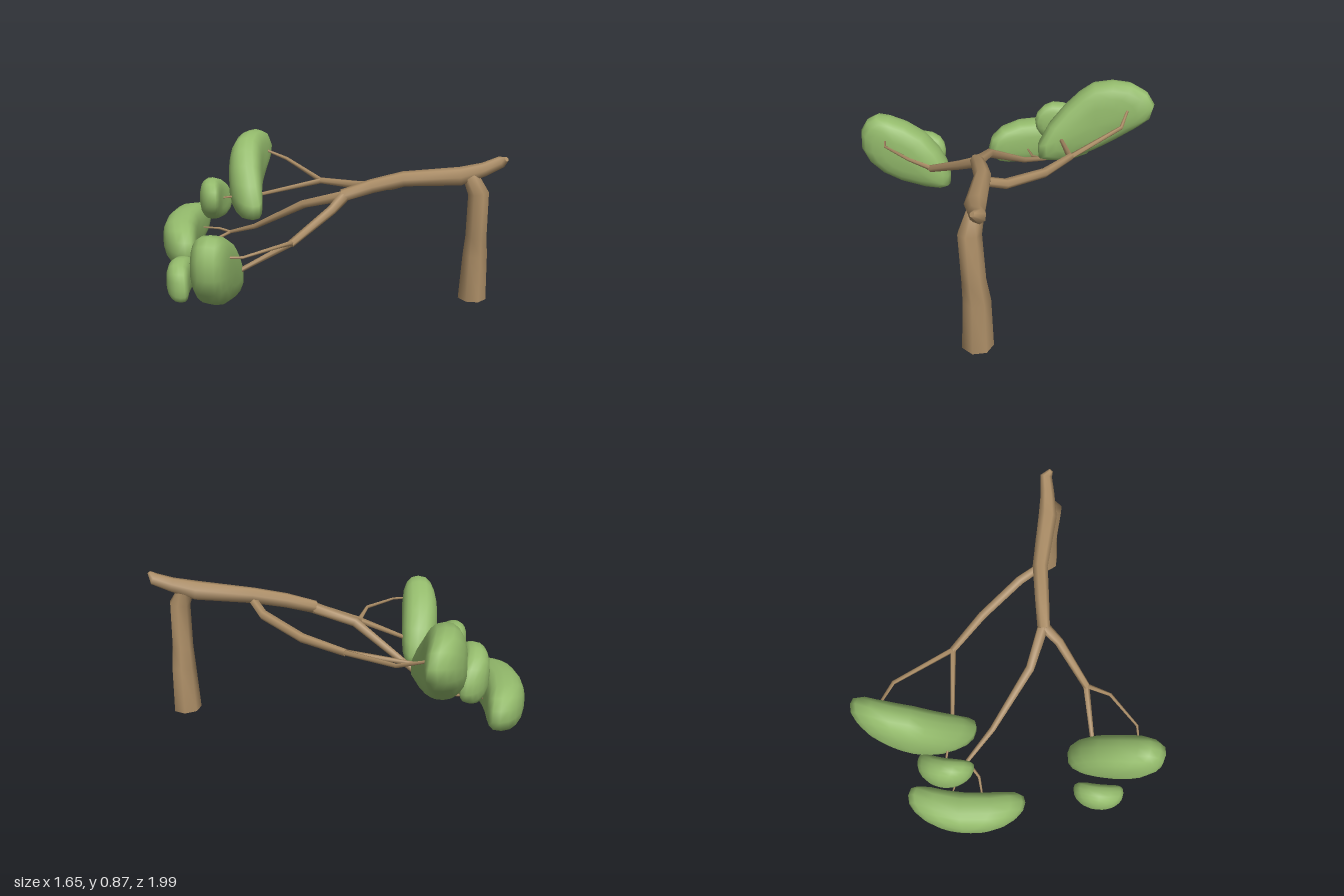
import * as THREE from 'three';
import { mergeVertices } from 'three/addons/utils/BufferGeometryUtils.js';

const bark = new THREE.MeshStandardMaterial({ color: 0xab8d66 });
bark.name = 'bark';
const leaf = new THREE.MeshStandardMaterial({ color: 0x94bb6c });
leaf.name = 'leaf';

// Tapered limb through points [x, y, z, radius], closed by flat caps
function limb(name, points, sides = 6) {
  const centres = points.map(p => new THREE.Vector3(p[0], p[1], p[2]));
  const last = points.length - 1;
  const side = new THREE.Vector3(1, 0, 0.3);
  const pos = [], index = [];
  centres.forEach((c, i) => {
    const t = centres[Math.min(i + 1, last)].clone().sub(centres[Math.max(i - 1, 0)]).normalize();
    side.addScaledVector(t, -side.dot(t)).normalize();
    const up = t.clone().cross(side);
    for (let j = 0; j < sides; j++) {
      const a = j / sides * Math.PI * 2;
      const v = c.clone().addScaledVector(side, Math.cos(a) * points[i][3])
        .addScaledVector(up, Math.sin(a) * points[i][3]);
      pos.push(v.x, v.y, v.z);
      if (i < last) {
        const k = i * sides, n = (j + 1) % sides;
        index.push(k + j, k + n, k + sides + j, k + n, k + sides + n, k + sides + j);
      }
    }
  });
  for (const end of [0, last]) {
    const start = pos.length / 3, ring = end * sides * 3;
    pos.push(...pos.slice(ring, ring + sides * 3), ...points[end].slice(0, 3));
    for (let j = 0; j < sides; j++) {
      const a = start + j, b = start + (j + 1) % sides, c = start + sides;
      index.push(...(end ? [a, b, c] : [b, a, c]));
    }
  }
  const g = new THREE.BufferGeometry();
  g.setAttribute('position', new THREE.Float32BufferAttribute(pos, 3));
  g.setIndex(index);
  g.computeVertexNormals();
  const mesh = new THREE.Mesh(g, bark);
  mesh.name = name;
  return mesh;
}

// Leaf pad: an upright outline (x, y), slanted from z0 to z1, thickened with a blunt rim and bowed outward
function pad(name, outline, z0, z1, half, bow) {
  const curve = new THREE.CatmullRomCurve3(outline.map(p => new THREE.Vector3(p[0], p[1], 0)), true);
  const box = new THREE.Box3().setFromPoints(curve.points);
  const mid = box.getCenter(new THREE.Vector3()), size = box.getSize(new THREE.Vector3());
  const normal = new THREE.Vector3(z0 - z1, 0, size.x).normalize();
  let g = new THREE.SphereGeometry(1, 16, 10).rotateX(Math.PI / 2);
  g.deleteAttribute('uv');
  g.deleteAttribute('normal');
  g = mergeVertices(g, 1e-4);
  const p = g.attributes.position, v = new THREE.Vector3();
  for (let i = 0; i < p.count; i++) {
    v.fromBufferAttribute(p, i);
    const h = Math.sign(v.z) * Math.pow(Math.abs(v.z), 0.8);
    const r = Math.pow(Math.hypot(v.x, v.y), 0.7);
    const turn = (Math.atan2(v.y, v.x) / (Math.PI * 2) + 1) % 1;
    v.copy(mid).lerp(curve.getPoint(turn), r);
    const s = (v.x - mid.x) / size.x * 2, t = (v.y - mid.y) / size.y * 2;
    v.z = (z0 + z1) / 2 + s * (z1 - z0) / 2;
    v.addScaledVector(normal, h * half - bow * (1 - s * s - 0.1 * t * t));
    p.setXYZ(i, v.x, v.y, v.z);
  }
  g.computeVertexNormals();
  const mesh = new THREE.Mesh(g, leaf);
  mesh.name = name;
  return mesh;
}

export function createModel() {
  const tree = new THREE.Group();
  tree.name = 'leaningTree';

  // Trunk and main bough, which ends in a slanted broken tip
  tree.add(
    limb('trunk', [[0.72, 0, 0.87, 0.083], [0.716, 0.28, 0.873, 0.072], [0.703, 0.4, 0.88, 0.062],
      [0.685, 0.66, 0.888, 0.06], [0.675, 0.76, 0.83, 0.045]], 7),
    limb('bough', [[0.79, 0.857, 0.992, 0.014], [0.798, 0.832, 0.955, 0.036], [0.73, 0.79, 0.89, 0.042],
      [0.64, 0.748, 0.79, 0.056], [0.46, 0.718, 0.52, 0.046], [0.33, 0.675, 0.39, 0.043],
      [0.21, 0.62, 0.27, 0.038]], 7));

  // Right, centre and left branches with their twigs
  tree.add(
    limb('rightBranch', [[0.46, 0.705, 0.54, 0.026], [0.515, 0.645, 0.4, 0.028],
      [0.545, 0.59, 0.1, 0.026], [0.53, 0.57, -0.18, 0.02]]),
    limb('rightOuterTwig', [[0.53, 0.57, -0.17, 0.016], [0.62, 0.635, -0.56, 0.012], [0.57, 0.68, -0.71, 0.008]], 5),
    limb('rightInnerTwig', [[0.53, 0.57, -0.17, 0.018], [0.28, 0.48, -0.45, 0.012], [0.12, 0.44, -0.68, 0.006]], 5),
    limb('centreBranch', [[0.22, 0.62, 0.28, 0.034], [0.12, 0.545, 0.05, 0.027],
      [0.085, 0.33, -0.33, 0.018], [0.085, 0.24, -0.56, 0.012]]),
    limb('centreOuterTwig', [[0.085, 0.24, -0.56, 0.011], [-0.03, 0.212, -0.58, 0.009], [-0.12, 0.205, -0.65, 0.006]], 5),
    limb('centreInnerTwig', [[0.085, 0.24, -0.56, 0.009], [0.065, 0.25, -0.64, 0.008], [0.02, 0.245, -0.75, 0.005]], 5),
    limb('leftBranch', [[0.22, 0.62, 0.28, 0.034], [0.1, 0.56, 0.285, 0.028], [-0.18, 0.41, 0.225, 0.022]]),
    limb('leftInnerTwig', [[-0.17, 0.415, 0.227, 0.02], [-0.41, 0.25, 0.02, 0.013]], 5),
    limb('leftOuterTwig', [[-0.17, 0.415, 0.227, 0.016], [-0.32, 0.442, 0.27, 0.011],
      [-0.56, 0.43, 0.23, 0.008], [-0.64, 0.43, 0.15, 0.006]], 5));

  // Leaf pads
  tree.add(
    pad('leftPad', [[-0.8, 0.35], [-0.73, 0.21], [-0.6, 0.12], [-0.41, 0.08], [-0.33, 0.1], [-0.325, 0.2],
      [-0.37, 0.32], [-0.48, 0.46], [-0.63, 0.54], [-0.72, 0.56], [-0.785, 0.5]], 0.2, -0.105, 0.115, 0.02),
    pad('leftSmallPad', [[-0.74, 0.2], [-0.73, 0.13], [-0.62, 0.11], [-0.52, 0.15], [-0.5, 0.23],
      [-0.53, 0.31], [-0.62, 0.34], [-0.72, 0.29]], -0.08, -0.26, 0.068, 0.04),
    pad('centrePad', [[-0.34, 0.2], [-0.31, 0.12], [-0.25, 0.085], [-0.08, 0.085], [0.08, 0.1], [0.19, 0.19],
      [0.195, 0.28], [0.15, 0.36], [0, 0.38], [-0.2, 0.36], [-0.31, 0.3]], -0.51, -0.945, 0.112, 0.085),
    pad('centreSmallPad', [[-0.03, 0.42], [0.02, 0.34], [0.1, 0.295], [0.22, 0.295], [0.265, 0.38],
      [0.23, 0.5], [0.13, 0.57], [0.03, 0.575], [-0.03, 0.51]], -0.61, -0.77, 0.075, 0.05),
    pad('rightPad', [[0.14, 0.34], [0.25, 0.305], [0.36, 0.335], [0.48, 0.42], [0.6, 0.54], [0.67, 0.64],
      [0.67, 0.74], [0.6, 0.81], [0.5, 0.825], [0.39, 0.8], [0.31, 0.72], [0.22, 0.6], [0.14, 0.45]],
      -0.41, -0.825, 0.112, 0.085));

  return tree;
}
